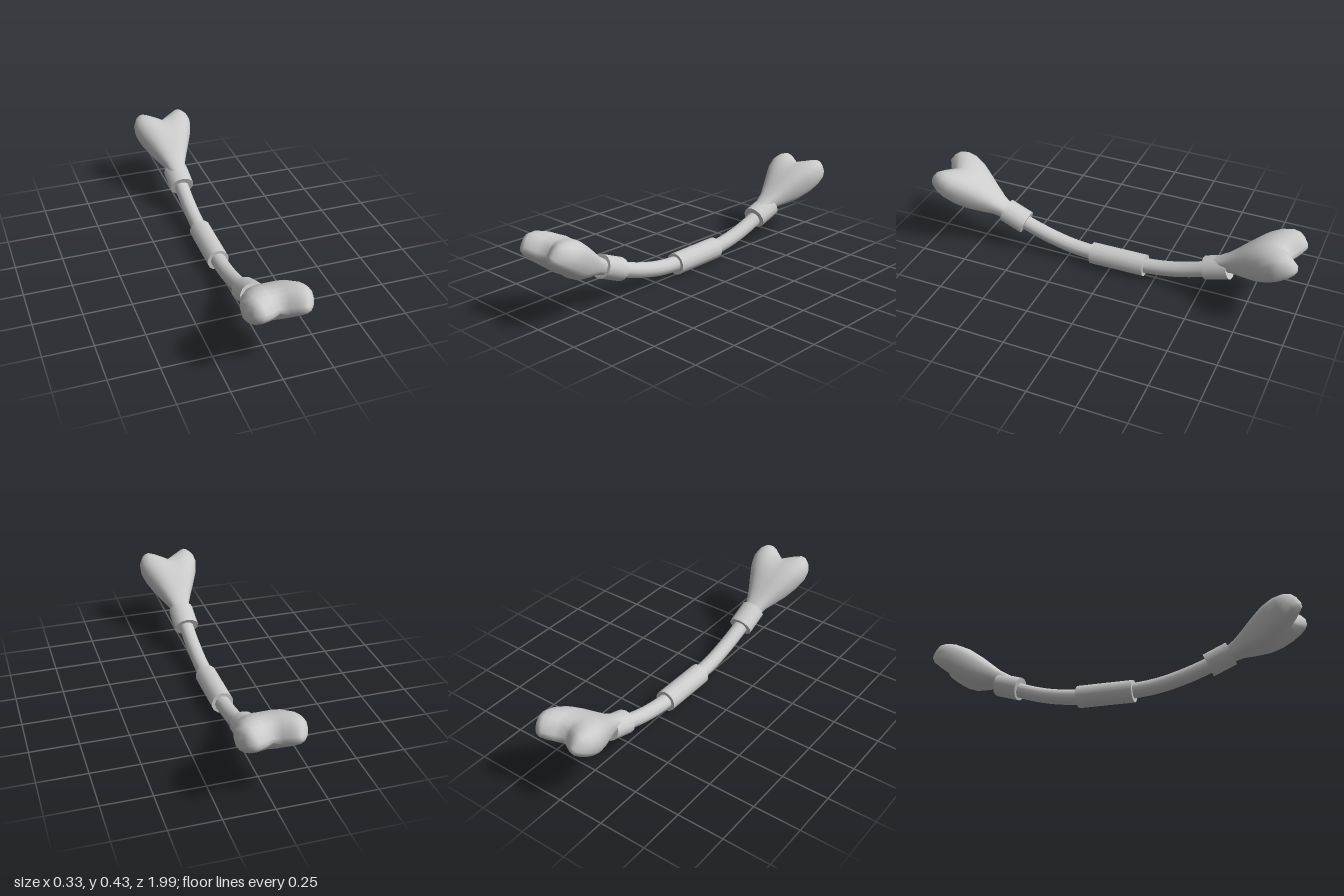
import * as THREE from 'three';
import { mergeVertices } from 'three/addons/utils/BufferGeometryUtils.js';

const material = new THREE.MeshStandardMaterial({ color: 0xcccccc });

// Knuckle cross-sections: [distance along axis, half width, half thickness, valley depth, notch depth, shift]
const SECTIONS = [
  [-0.05, 0.042, 0.036, 0, 0, 0],
  [0.0, 0.045, 0.038, 0, 0, 0],
  [0.06, 0.06, 0.047, 0, 0, -0.001],
  [0.12, 0.086, 0.068, 0.03, 0, -0.003],
  [0.19, 0.118, 0.09, 0.08, 0.005, -0.002],
  [0.26, 0.148, 0.1, 0.14, 0.015, 0.005],
  [0.325, 0.165, 0.096, 0.22, 0.03, 0.01],
  [0.375, 0.162, 0.086, 0.3, 0.045, 0.01],
  [0.413, 0.145, 0.069, 0.38, 0.06, 0.006],
  [0.43, 0.13, 0.042, 0.4, 0.067, -0.002],
  [0.437, 0.118, 0, 0, 0.07, -0.01],
];

// Heart-shaped bone end, lofted along +y with two lobes side by side in x
function knuckleGeometry(sides = 24) {
  const positions = [], index = [];
  const power = (v, e) => Math.sign(v) * Math.pow(Math.abs(v), e);
  SECTIONS.forEach(([s, w, h, valley, notch, shift], i) => {
    for (let j = 0; j < sides; j++) {
      const a = (j / sides) * Math.PI * 2;
      const x = power(Math.cos(a), 0.9);
      const toMiddle = Math.max(0, 1 - Math.abs(x) / 0.8);
      const toSide = Math.max(0, Math.abs(x) - 0.8);
      const thick = power(Math.sin(a), 0.75) * h * (1 - valley * toMiddle);
      positions.push(x * w, s - notch * (toMiddle + toSide), -(thick + shift));
      if (i < SECTIONS.length - 1) {
        const p = i * sides + j, q = i * sides + ((j + 1) % sides);
        index.push(p, q, p + sides, q, q + sides, p + sides);
      }
    }
  });
  let geo = new THREE.BufferGeometry();
  geo.setAttribute('position', new THREE.Float32BufferAttribute(positions, 3));
  geo.setIndex(index);
  geo = mergeVertices(geo, 1e-5);
  geo.computeVertexNormals();
  return geo;
}

function add(parent, name, geometry) {
  const mesh = new THREE.Mesh(geometry, material);
  mesh.name = name;
  parent.add(mesh);
  return mesh;
}

// Points a part's +y axis outward (+z) and raises it by the given angle
function place(mesh, y, z, degrees) {
  mesh.position.set(0, y, z);
  mesh.rotation.x = Math.PI / 2 - THREE.MathUtils.degToRad(degrees);
}

export function createModel() {
  const group = new THREE.Group();
  group.name = 'curvedBone';

  // Bowed shaft
  const path = new THREE.CatmullRomCurve3([
    [0.6, 0.195], [0.5, 0.15], [0.35, 0.1], [0.2, 0.069], [-0.04, 0.06],
    [-0.22, 0.067], [-0.38, 0.096], [-0.53, 0.147], [-0.61, 0.185],
  ].map(([z, y]) => new THREE.Vector3(0, y, z)));
  add(group, 'shaft', new THREE.TubeGeometry(path, 32, 0.04, 12));

  // Middle grip
  place(add(group, 'middleSleeve', new THREE.CylinderGeometry(0.058, 0.058, 0.3, 14)), 0.062, -0.043, -1);

  // Two bone ends with their slightly oval collars; the back one sits a little flatter
  const knuckle = knuckleGeometry();
  const collar = new THREE.CylinderGeometry(0.06, 0.06, 0.13, 14).scale(1.13, 1, 1);
  const ends = [
    { name: 'front', turn: 0, collar: [0.175, 0.555, 23], knuckle: [0.192, 0.6, 27] },
    { name: 'back', turn: Math.PI, collar: [0.172, 0.583, 18], knuckle: [0.201, 0.595, 24] },
  ];
  for (const e of ends) {
    const end = new THREE.Group();
    end.name = e.name + 'End';
    end.rotation.y = e.turn;
    place(add(end, e.name + 'Collar', collar), ...e.collar);
    place(add(end, e.name + 'Knuckle', knuckle), ...e.knuckle);
    group.add(end);
  }
  return group;
}
